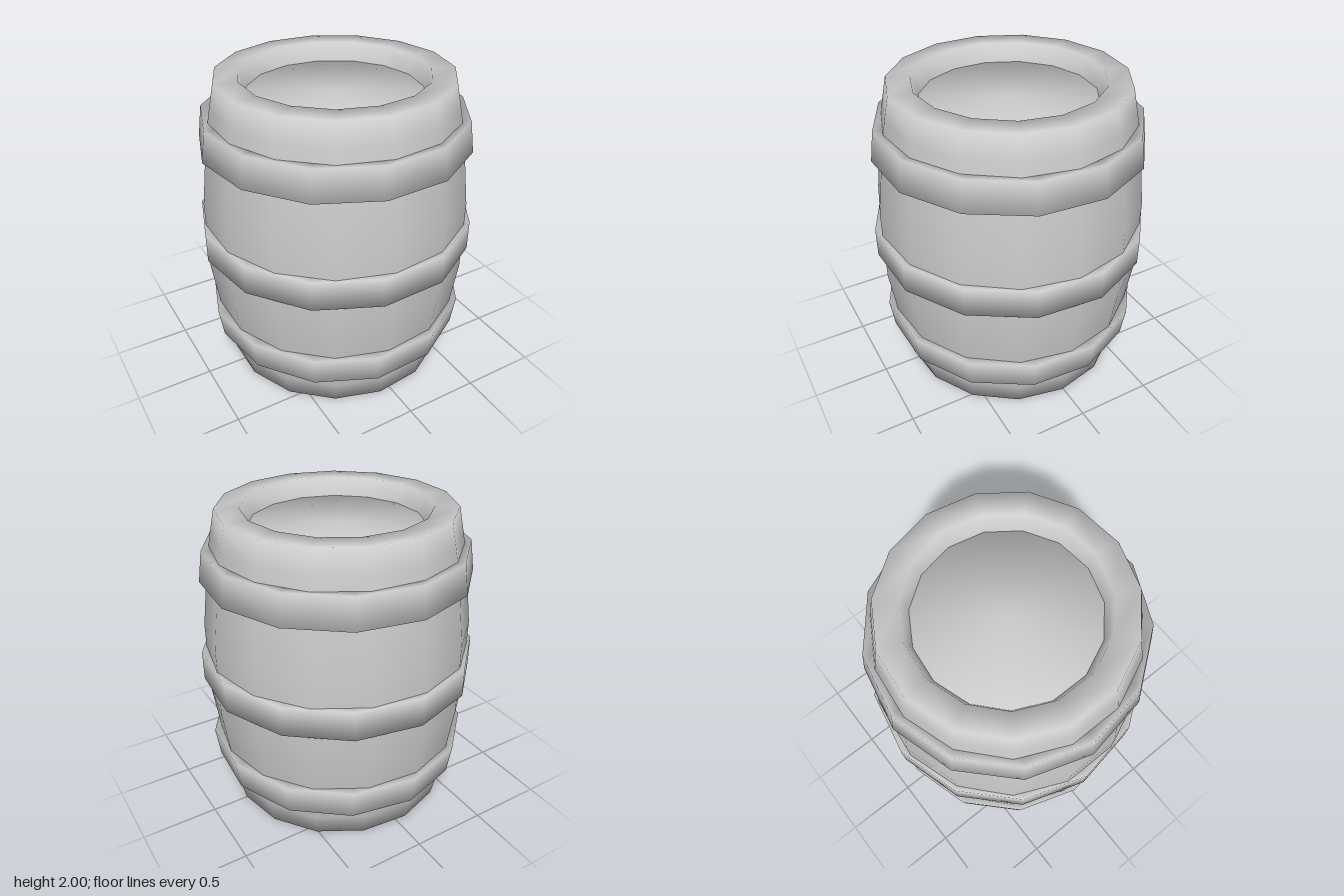
import * as THREE from 'three';

const TAU = Math.PI * 2;

// Smooth turned part; start is the angle of its first vertex, from +z towards +x
function turned(name, profile, sides, start) {
  const points = profile.map(([r, y]) => new THREE.Vector2(r, y));
  const mesh = new THREE.Mesh(
    new THREE.LatheGeometry(points, sides, start, TAU),
    new THREE.MeshStandardMaterial({ color: 0xcccccc })
  );
  mesh.name = name;
  mesh.position.set(0.005, 0, 0.007); // centres the odd-sided rings
  return mesh;
}

// Flat metal band with a closed cross-section
function hoop(name, bottom, rBottom, rTop) {
  const top = bottom + 0.2, inner = 0.76;
  return turned(name, [
    [inner, bottom], [rBottom, bottom], [rTop, top], [inner, top], [inner, bottom],
  ], 13, Math.PI / 2 - THREE.MathUtils.degToRad(18.1));
}

export function createModel() {
  const barrel = new THREE.Group();
  barrel.name = 'barrel';

  // Bulging staves, with a rim at both ends that slopes in to the heads
  barrel.add(turned('body', [
    [0.553, 0.14], [0.6, 0], [0.752, 0], [0.784, 0.15], [0.82, 0.33], [0.876, 0.74],
    [0.876, 1.22], [0.82, 1.67], [0.784, 1.85], [0.752, 2], [0.6, 2], [0.553, 1.86],
  ], 15, Math.PI / 2));

  // Inner drum whose ends are the recessed heads
  barrel.add(turned('heads', [
    [0, 0.12], [0.65, 0.12], [0.65, 0.75], [0.65, 1.25], [0.65, 1.88], [0, 1.88],
  ], 15, Math.PI / 2));

  // Three hoops
  barrel.add(hoop('lowerHoop', 0.235, 0.85, 0.878));
  barrel.add(hoop('middleHoop', 0.867, 0.908, 0.908));
  barrel.add(hoop('upperHoop', 1.567, 0.878, 0.85));
  return barrel;
}
